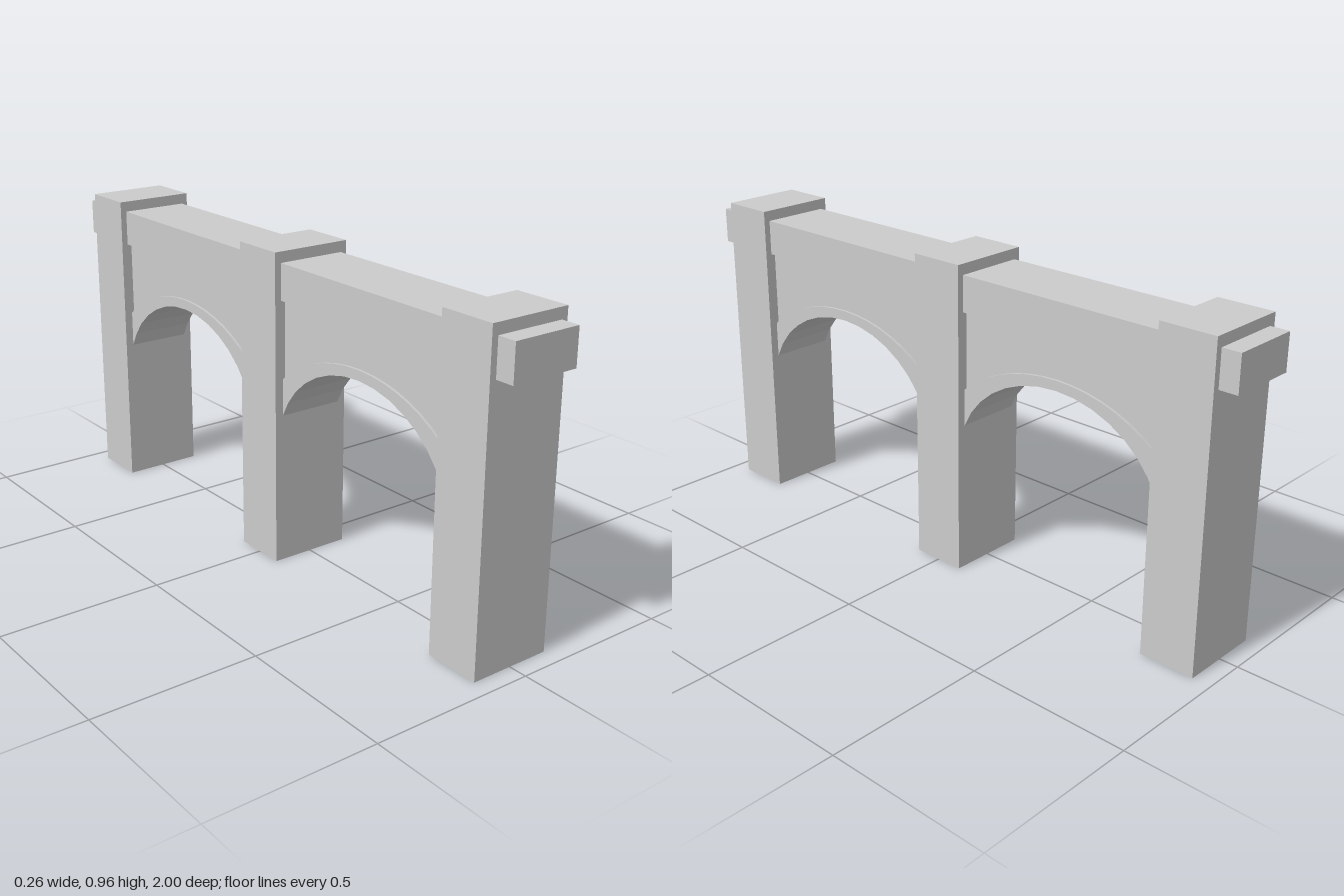
import * as THREE from 'three';

const material = new THREE.MeshStandardMaterial({ color: 0xcccccc, flatShading: true });
const PIER_Z = 0.857;      // centre of the end piers
const ARCH_Z = 0.4285;     // centre of each span
const HALF_SPAN = 0.36;    // reaches slightly into the piers
const SPRING_Y = 0.36;     // centre height of the arch ellipses
const INNER = { a: 0.365, b: 0.31 };
const OUTER = { a: 0.45, b: 0.34 };

function add(parent, name, geometry, y, z) {
  const mesh = new THREE.Mesh(geometry, material);
  mesh.name = name;
  mesh.position.set(0, y, z);
  parent.add(mesh);
}

// Points of an elliptical arc, cut off at the ends of the span
function arc({ a, b }, segments = 16) {
  const limit = Math.asin(HALF_SPAN / a);
  return Array.from({ length: segments + 1 }, (_, i) => {
    const t = limit * (2 * i / segments - 1);
    return new THREE.Vector2(a * Math.sin(t), SPRING_Y + b * Math.cos(t));
  });
}

// Extrude a side profile across the width of the bridge
function across(points, width) {
  const geometry = new THREE.ExtrudeGeometry(new THREE.Shape(points), { depth: width, bevelEnabled: false });
  geometry.translate(0, 0, -width / 2);
  geometry.rotateY(Math.PI / 2);
  return geometry;
}

export function createModel() {
  const model = new THREE.Group();
  model.name = 'archedBridge';

  // Three square-cut piers
  for (const [name, z] of [['frontPier', PIER_Z], ['middlePier', 0], ['backPier', -PIER_Z]]) {
    add(model, name, new THREE.BoxGeometry(0.256, 0.96, 0.172), 0.48, z);
  }

  // Beam running through the pier heads
  add(model, 'topBeam', new THREE.BoxGeometry(0.216, 0.11, 2), 0.872, 0);

  // Recessed wall and projecting arch ring of each span
  const wall = across([
    ...arc(OUTER),
    new THREE.Vector2(HALF_SPAN, 0.83),
    new THREE.Vector2(-HALF_SPAN, 0.83),
  ], 0.188);
  const ring = across([...arc(OUTER), ...arc(INNER).reverse()], 0.204);
  for (const [side, z] of [['front', ARCH_Z], ['back', -ARCH_Z]]) {
    add(model, side + 'SpandrelWall', wall, 0, z);
    add(model, side + 'ArchRing', ring, 0, z);
  }
  return model;
}
